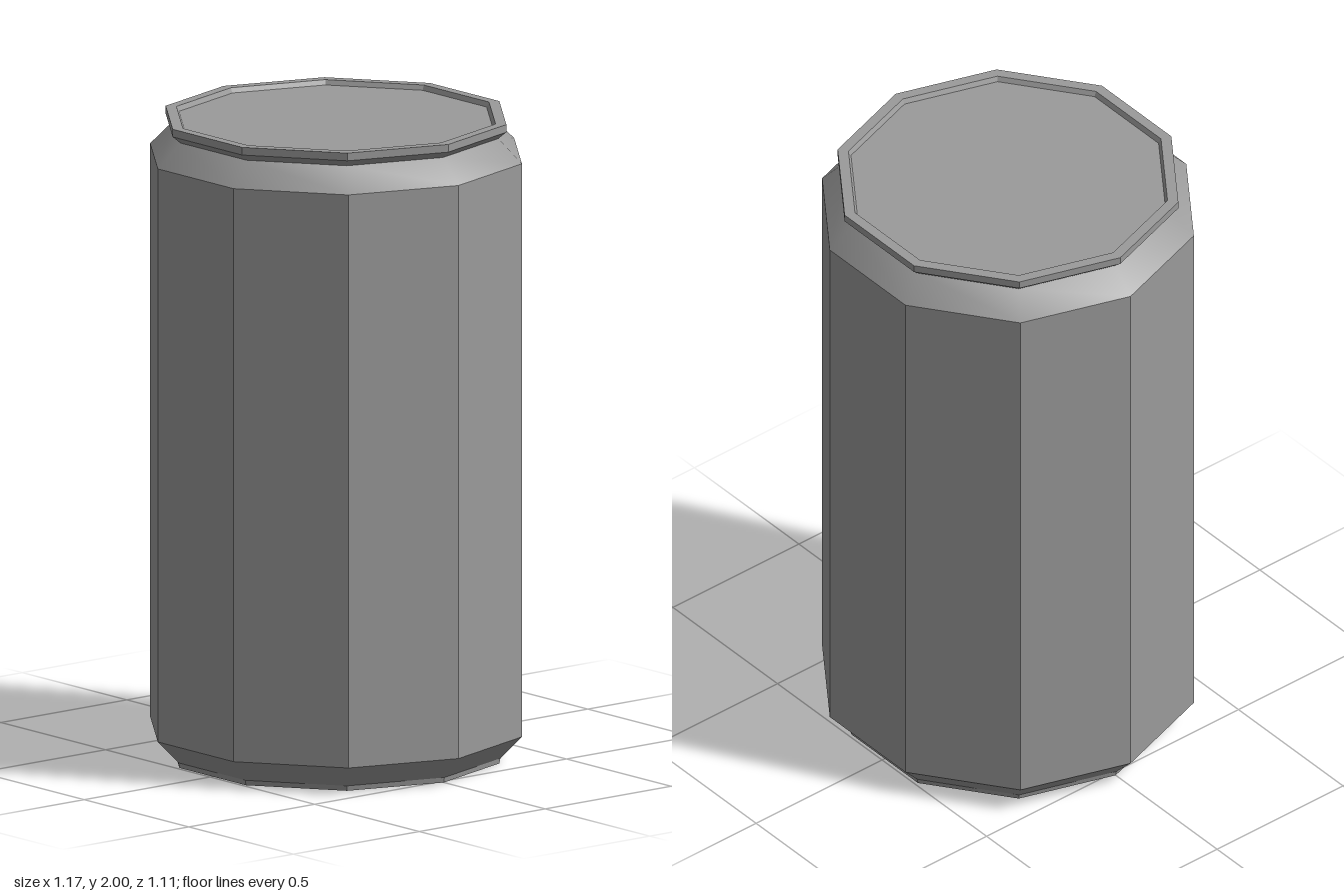
import * as THREE from 'three';
import { toCreasedNormals } from 'three/addons/utils/BufferGeometryUtils.js';

const SIDES = 10;
const material = new THREE.MeshStandardMaterial({ color: 0x9b9b9b });

// Ten-sided ring swept from a [radius, y] profile, with a corner on the x axis
function ring(name, profile) {
  const points = profile.map(([r, y]) => new THREE.Vector2(r, y));
  const lathe = new THREE.LatheGeometry(points, SIDES, Math.PI / 2);
  const mesh = new THREE.Mesh(toCreasedNormals(lathe, Math.PI / 6), material);
  mesh.name = name;
  return mesh;
}

// Flat ten-sided disc facing up (dir = 1) or down (dir = -1)
function disc(name, radius, y, dir) {
  const geometry = new THREE.CircleGeometry(radius, SIDES).rotateX(-dir * Math.PI / 2);
  const mesh = new THREE.Mesh(geometry, material);
  mesh.name = name;
  mesh.position.y = y;
  return mesh;
}

export function createModel() {
  const can = new THREE.Group();
  can.name = 'can';
  can.add(
    // Underside and its short foot
    disc('base', 0.515, 0, -1),
    ring('foot', [[0.515, 0], [0.518, 0.016]]),
    // Straight wall with a bevel at each end
    ring('body', [[0.518, 0.016], [0.586, 0.087], [0.586, 1.88], [0.512, 1.955]]),
    // Flared lip with a shallow inner wall
    ring('rim', [[0.512, 1.955], [0.537, 1.976], [0.537, 2], [0.503, 2], [0.495, 1.985]]),
    // Sunken top
    disc('lid', 0.495, 1.985, 1),
  );
  return can;
}
